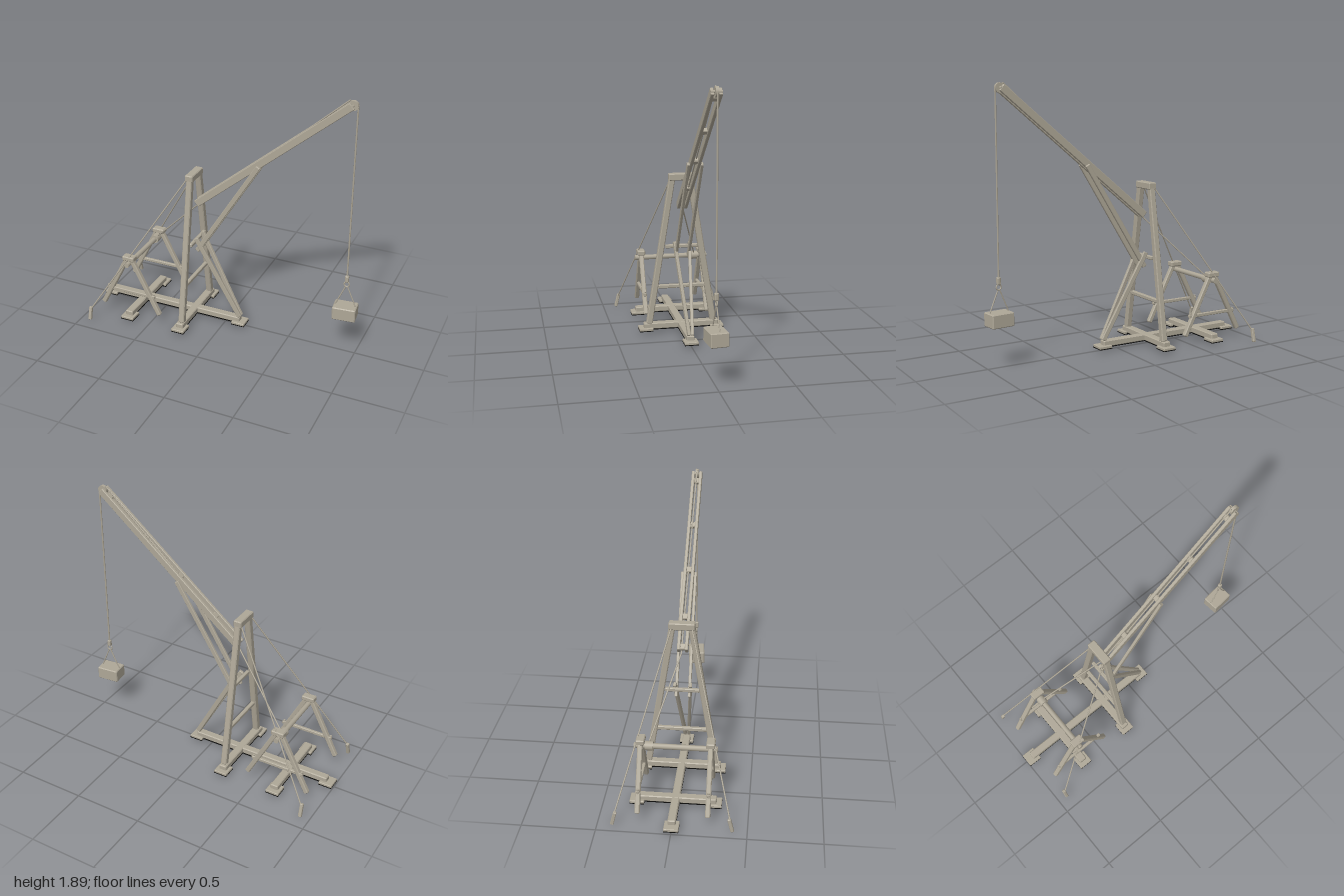
import * as THREE from 'three';
import { ConvexGeometry } from 'three/addons/geometries/ConvexGeometry.js';

export function createModel() {
  const crane = new THREE.Group();
  crane.name = 'woodenCrane';
  const wood = new THREE.MeshStandardMaterial({ name: 'weatheredWood', color: 0xaea797 });
  const dark = new THREE.MeshStandardMaterial({ name: 'darkUnderside', color: 0x0c0c0b });
  const V = (p) => new THREE.Vector3(...p);

  const add = (name, geometry, parent = crane, material = wood) => {
    const mesh = new THREE.Mesh(geometry, material);
    mesh.name = name;
    parent.add(mesh);
    return mesh;
  };
  // Block with flat chamfered edges
  const block = (name, size, pos, parent) => {
    const half = size.map((s) => s / 2);
    const c = Math.min(0.006, Math.min(...size) * 0.17);
    const points = [];
    for (let corner = 0; corner < 8; corner++) {
      for (let face = 0; face < 3; face++) {
        points.push(V(half.map((h, i) => (corner & (1 << i) ? 1 : -1) * (i === face ? h : h - c))));
      }
    }
    const m = add(name, new ConvexGeometry(points), parent);
    m.position.set(...pos);
    return m;
  };
  // Square timber running from a to b
  const timber = (name, a, b, w, h = w, parent = crane) => {
    const length = V(a).distanceTo(V(b));
    const m = block(name, [w, h, length], V(a).lerp(V(b), 0.5).toArray(), parent);
    m.lookAt(V(b));
    return m;
  };
  // Round rod or rope running from a to b
  const rod = (name, a, b, r, parent = crane, sides = 8) => {
    const d = V(b).sub(V(a));
    const m = add(name, new THREE.CylinderGeometry(r, r, d.length(), sides), parent);
    m.position.copy(V(a).lerp(V(b), 0.5));
    m.quaternion.setFromUnitVectors(new THREE.Vector3(0, 1, 0), d.normalize());
    return m;
  };
  // Ground timber with a dark plate beneath it
  const groundBlock = (name, size, pos) => {
    block(name, size, pos);
    const plate = add(name + 'Underside', new THREE.BoxGeometry(size[0], 0.005, size[2]), crane, dark);
    plate.position.set(pos[0], pos[1] - size[1] / 2 - 0.0015, pos[2]);
  };

  // Ground frame: long sill, two cross sills and foot pads
  groundBlock('longSill', [1.07, 0.045, 0.055], [-0.415, 0.05, 0]);
  for (const x of [-0.95, 0.115]) groundBlock('endPad', [0.1, 0.02, 0.1], [x, 0.03, 0]);
  for (const x of [-0.248, -0.665]) {
    groundBlock('crossSill', [0.058, 0.045, 0.56], [x, 0.051, 0]);
    for (const s of [-1, 1]) groundBlock('sidePad', [0.1, 0.02, 0.1], [x, 0.03, s * 0.265]);
  }

  // Main mast
  for (const s of [-1, 1]) timber('mastLeg', [-0.243, 0.07, s * 0.24], [-0.243, 1.16, s * 0.065], 0.044);
  block('mastCap', [0.06, 0.05, 0.18], [-0.245, 1.159, 0]);
  timber('lowerMastBar', [-0.243, 0.345, -0.19], [-0.243, 0.345, 0.19], 0.028);
  timber('upperMastBar', [-0.225, 0.65, -0.12], [-0.225, 0.65, 0.12], 0.026);

  // Sloping props and jib braces in front of the mast
  for (const s of [-1, 1]) {
    timber('mastProp', [0.117, 0.075, s * 0.012], [-0.21, 0.685, s * 0.055], 0.022, 0.034);
    timber('jibBrace', [-0.205, 0.58, s * 0.046], [0.26, 1.33, s * 0.046], 0.02, 0.034);
  }

  // Jib: paired rails joined by spacers
  const foot = [-0.215, 0.95, 0], tip = [0.88, 1.862, 0];
  const along = (t, z = 0) => {
    const p = V(foot).lerp(V(tip), t);
    return [p.x, p.y, z];
  };
  for (const s of [-1, 1]) timber('jibRail', along(0, s * 0.027), along(1, s * 0.027), 0.022, 0.052);
  for (const t of [0.02, 0.18, 0.435, 0.69, 0.95]) {
    timber('jibSpacer', along(t - 0.015), along(t + 0.015), 0.04, 0.032);
  }

  // Tip pulley
  const pulley = [0.88, 1.857];
  rod('pulleyWheel', [...pulley, -0.011], [...pulley, 0.011], 0.034, crane, 20);
  rod('pulleyAxle', [...pulley, -0.037], [...pulley, 0.037], 0.009);

  // Winch trestles
  for (const s of [-1, 1]) {
    const z = s * 0.235;
    const trestle = new THREE.Group();
    trestle.name = 'winchTrestle';
    crane.add(trestle);
    for (const d of [-1, 1]) {
      timber('trestleLeg', [-0.664 + d * 0.234, 0.078, z], [-0.664 + d * 0.015, 0.505, z], 0.034, 0.034, trestle);
      rod('trestlePeg', [-0.664 + d * 0.187, 0.205, z], [-0.664 + d * 0.187, 0.24, z], 0.008, trestle);
    }
    block('trestleCap', [0.095, 0.036, 0.058], [-0.663, 0.508, z], trestle);
    timber('trestleBar', [-0.86, 0.22, z], [-0.463, 0.22, z], 0.022, 0.024, trestle);
  }

  // Winch drum with rope coil
  const axis = [-0.665, 0.465];
  rod('winchDrum', [...axis, -0.28], [...axis, 0.28], 0.019, crane, 10);
  rod('ropeCoil', [...axis, -0.205], [...axis, -0.15], 0.032, crane, 14);

  // Hoisting rope
  rod('winchRope', [-0.645, 0.49, -0.178], [-0.215, 0.93, -0.008], 0.005);
  rod('jibRope', [-0.215, 0.93, -0.008], [0.857, 1.89, 0], 0.005);
  rod('hoistRope', [0.911, 1.86, 0], [0.911, 0.61, 0], 0.006);

  // Guy ropes and ground stakes
  for (const s of [-1, 1]) {
    rod('guyRope', [-0.928, 0.085, s * 0.385], [-0.265, 1.15, s * 0.07], 0.005);
    timber('groundStake', [-0.93, 0.003, s * 0.402], [-0.93, 0.102, s * 0.378], 0.024);
  }

  // Hook, sling and stone load
  const load = new THREE.Group();
  load.name = 'hangingLoad';
  load.position.set(0.911, 0, 0);
  load.rotation.y = 0.1;
  crane.add(load);
  block('hookBlock', [0.026, 0.05, 0.026], [0, 0.592, 0], load);
  const ring = add('hookRing', new THREE.TorusGeometry(0.018, 0.005, 8, 20), load);
  ring.position.set(0, 0.55, 0);
  for (const s of [-1, 1]) rod('slingRope', [s * 0.006, 0.533, 0], [s * 0.072, 0.378, 0], 0.0045, load);
  block('stoneLoad', [0.165, 0.096, 0.122], [0, 0.333, 0], load);

  return crane;
}
